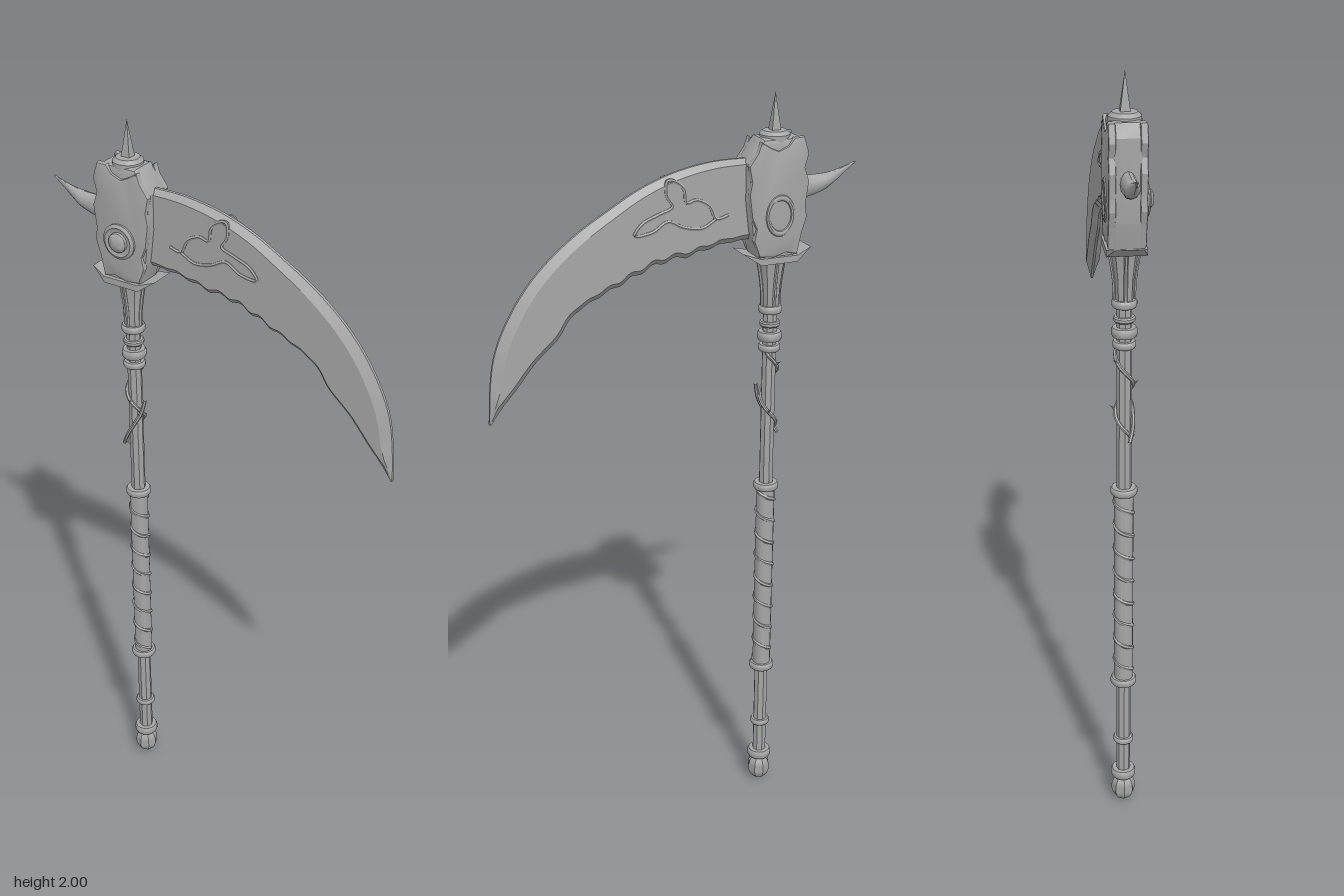
import * as THREE from 'three';
import { toCreasedNormals } from 'three/addons/utils/BufferGeometryUtils.js';

const V2 = (x, y) => new THREE.Vector2(x, y);
const V3 = (x, y, z = 0) => new THREE.Vector3(x, y, z);
const AX = -0.267, AZ = -0.012; // shaft axis

export function createModel() {
  const root = new THREE.Group();
  root.name = 'scythe';
  const metal = new THREE.MeshStandardMaterial({ color: 0xa6a6a6 });
  metal.name = 'grey metal';

  const add = (name, geo, x = AX, y = 0, z = AZ, crease = 0.6) => {
    const mesh = new THREE.Mesh(toCreasedNormals(geo, crease), metal);
    mesh.name = name;
    mesh.position.set(x, y, z);
    root.add(mesh);
    return mesh;
  };
  const lathe = (name, pts, sides = 20, crease = 0.6) =>
    add(name, new THREE.LatheGeometry(pts.map(p => V2(p[0], p[1])), sides), AX, 0, AZ, crease);

  // Closed skin over rings of points, with fan caps
  const loft = (rings) => {
    const n = rings[0].length, pos = [], idx = [];
    rings.forEach(r => r.forEach(p => pos.push(p.x, p.y, p.z)));
    for (let i = 0; i < rings.length - 1; i++) {
      for (let j = 0; j < n; j++) {
        const a = i * n + j, b = i * n + (j + 1) % n;
        idx.push(a, b, b + n, a, b + n, a + n);
      }
    }
    const last = (rings.length - 1) * n;
    for (let j = 1; j < n - 1; j++) idx.push(0, j + 1, j, last, last + j, last + j + 1);
    const g = new THREE.BufferGeometry();
    g.setAttribute('position', new THREE.Float32BufferAttribute(pos, 3));
    g.setIndex(idx);
    return g;
  };

  // Shaft, collars and neck
  lathe('shaft', [[0, 0.06], [0.019, 0.06], [0.019, 1.46], [0, 1.46]], 8, 0.3);
  const collar = (y, r, h) => lathe('collar', [[0.016, y - h], [r * 0.9, y - h], [r, y - h * 0.5],
    [r, y + h * 0.5], [r * 0.9, y + h], [0.016, y + h]]);
  [[0.09, 0.033, 0.012], [0.198, 0.027, 0.008], [0.385, 0.034, 0.01], [0.945, 0.034, 0.01],
    [1.34, 0.029, 0.009], [1.372, 0.032, 0.012], [1.405, 0.027, 0.007], [1.445, 0.031, 0.01]]
    .forEach(c => collar(...c));
  lathe('neck', [[0.018, 1.43], [0.023, 1.45], [0.024, 1.5], [0.031, 1.555], [0.038, 1.59], [0, 1.59]], 8, 0.3);
  for (let i = 0; i < 4; i++) { // raised ribs up the neck
    const a = i * Math.PI / 2;
    const path = new THREE.CatmullRomCurve3([[0.023, 1.45], [0.025, 1.5], [0.032, 1.55], [0.039, 1.585]]
      .map(([r, y]) => V3(r * Math.cos(a), y, r * Math.sin(a))));
    add('neckRib', new THREE.TubeGeometry(path, 8, 0.005, 6));
  }

  // Lobed pommel
  const pommel = new THREE.SphereGeometry(1, 32, 16);
  const pp = pommel.attributes.position;
  for (let i = 0; i < pp.count; i++) {
    const k = 0.03 + 0.002 * Math.cos(8 * Math.atan2(pp.getZ(i), pp.getX(i)));
    pp.setXYZ(i, pp.getX(i) * k, pp.getY(i) * 0.041, pp.getZ(i) * k);
  }
  add('pommel', pommel, AX, 0.041, AZ);

  // Wrapped grip
  const helix = (r, y0, y1, turns, phase, n) => new THREE.CatmullRomCurve3(Array.from({ length: n + 1 }, (_, i) => {
    const t = i / n, a = phase + t * turns * Math.PI * 2;
    return V3(r * Math.cos(a), y0 + (y1 - y0) * t, r * Math.sin(a));
  }));
  lathe('grip', [[0.018, 0.39], [0.0245, 0.39], [0.0245, 0.94], [0.018, 0.94]], 16);
  add('gripWrap', new THREE.TubeGeometry(helix(0.0225, 0.4, 0.93, 8, 0, 96), 200, 0.006, 6));

  // Thorny vine winding up the shaft
  const vine = helix(0.022, 1.1, 1.33, 1.5, 2.4, 24);
  add('vine', new THREE.TubeGeometry(vine, 60, 0.005, 6));
  for (const t of [0, 0.28, 0.58, 0.85]) {
    const p = vine.getPointAt(t), out = V3(p.x, 0.015, p.z).normalize();
    const thorn = add('thorn', new THREE.ConeGeometry(0.005, 0.022, 6),
      AX + p.x + out.x * 0.007, p.y + out.y * 0.007, AZ + p.z + out.z * 0.007);
    thorn.quaternion.setFromUnitVectors(V3(0, 1, 0), out);
  }
  const twig = new THREE.CatmullRomCurve3([V3(-0.034, 1.09, 0.01), V3(-0.016, 1.125, 0.02),
    V3(0.01, 1.17, 0.021), V3(0.025, 1.2, 0.012), V3(0.034, 1.24, 0.006)]);
  add('vineTwig', new THREE.TubeGeometry(twig, 20, 0.005, 6));

  // Extruded outline centred on z = 0, with optional rounded rim
  const extrude = (pts, half, bevel) => {
    const g = new THREE.ExtrudeGeometry(new THREE.Shape(pts.map(p => V2(...p))), {
      depth: 2 * (half - bevel), bevelEnabled: bevel > 0, bevelThickness: bevel, bevelSize: bevel,
      bevelOffset: -bevel, bevelSegments: 2,
    });
    return g.translate(0, 0, bevel - half);
  };

  // Flange under the head: bent plate with sharp, upturned, narrowed ends
  const flange = extrude([[-0.094, 1.607], [-0.05, 1.577], [0.05, 1.577], [0.094, 1.607],
    [0.05, 1.594], [-0.05, 1.594]], 0.049, 0);
  const fp = flange.attributes.position;
  for (let i = 0; i < fp.count; i++) if (Math.abs(fp.getX(i)) > 0.09) fp.setZ(i, fp.getZ(i) * 0.7);
  add('flange', flange, AX, 0, AZ, 0.3);

  // Head block with notched face plates
  add('headCore', extrude([[-0.048, 1.585], [0.052, 1.585], [0.074, 1.66], [0.084, 1.74], [0.084, 1.835],
    [0.058, 1.875], [0.045, 1.892], [-0.05, 1.892], [-0.068, 1.86], [-0.07, 1.76], [-0.066, 1.66]], 0.04, 0.013), AX, 0, AZ, 0.4);
  const plate = [[-0.05, 1.595], [-0.02, 1.603], [0.015, 1.593], [0.054, 1.598], [0.07, 1.64], [0.064, 1.67],
    [0.077, 1.7], [0.085, 1.76], [0.079, 1.79], [0.087, 1.83], [0.064, 1.862], [0.055, 1.888], [0.03, 1.872],
    [0.008, 1.862], [-0.018, 1.872], [-0.035, 1.892], [-0.062, 1.893], [-0.076, 1.85], [-0.066, 1.815],
    [-0.078, 1.78], [-0.07, 1.72], [-0.075, 1.69], [-0.062, 1.65]];
  for (const s of [1, -1]) add(s > 0 ? 'frontPlate' : 'backPlate', extrude(plate, 0.009, 0.005), AX, 0, AZ + s * 0.037, 0.4);

  // Round boss in front, oval ring behind
  const boss = new THREE.LatheGeometry([[0.046, -0.004], [0.046, 0.006], [0.038, 0.011], [0.03, 0.007], [0.026, 0.007],
    [0.025, 0.014], [0.016, 0.021], [0, 0.024]].map(p => V2(...p)), 28);
  boss.rotateX(Math.PI / 2);
  add('frontBoss', boss, AX, 1.7, AZ + 0.045);
  add('backRing', new THREE.TorusGeometry(0.038, 0.007, 8, 28), AX, 1.7, AZ - 0.045).scale.set(0.9, 1.2, 0.8);

  // Cap and square top spike
  lathe('topCap', [[0.039, 1.88], [0.039, 1.897], [0.03, 1.906], [0, 1.908]]);
  const spike = new THREE.ConeGeometry(0.018, 0.1, 4);
  spike.rotateY(Math.PI / 4);
  add('topSpike', spike, AX, 1.95, AZ, 0.3);

  // Curved blade: bevelled outer edge, softly notched inner edge
  const curve = pts => new THREE.SplineCurve(pts.map(p => V2(...p)));
  const outer = curve([[-0.2, 1.843], [-0.1, 1.842], [0, 1.825], [0.09, 1.793], [0.17, 1.75], [0.26, 1.695],
    [0.34, 1.63], [0.4, 1.562], [0.447, 1.485], [0.475, 1.415], [0.488, 1.34], [0.495, 1.24]]);
  const inner = curve([[-0.2, 1.637], [-0.12, 1.63], [-0.04, 1.612], [0.03, 1.603], [0.09, 1.583], [0.16, 1.552],
    [0.22, 1.525], [0.275, 1.49], [0.31, 1.44], [0.37, 1.385], [0.42, 1.325], [0.46, 1.28], [0.492, 1.237]]);
  const rings = [], N = 120, h = 0.0185;
  for (let i = 0; i <= N; i++) {
    const t = i / N, o = outer.getPointAt(t), n = inner.getPointAt(t);
    if (t < 0.6) n.y += 0.005 * Math.sin(t * 85) * Math.sin(t * Math.PI / 0.6); // notches
    const w = o.distanceTo(n);
    const a = Math.min(0.4, (0.012 + 0.02 * t) / w), b = 1 - Math.min(0.4, 0.016 / w);
    const z = h * Math.min(1, 0.12 + (1 - t) * 12);
    const at = (f, zz) => V3(o.x + (n.x - o.x) * f, o.y + (n.y - o.y) * f, zz);
    rings.push([at(0, 0.004), at(a, z), at(b, z), at(1, 0.003), at(1, -0.003), at(b, -z), at(a, -z), at(0, -0.004)]);
  }
  add('blade', loft(rings), 0, 0, AZ, 0.4);

  // Raised leaf scroll on both blade faces
  const leaf = [[-0.137, 1.708], [-0.105, 1.702], [-0.085, 1.737], [-0.05, 1.755], [-0.025, 1.75], [-0.018, 1.785],
    [0.0, 1.803], [0.025, 1.81], [0.028, 1.775], [0.012, 1.745], [0.05, 1.728], [0.092, 1.71], [0.112, 1.682],
    [0.065, 1.686], [0.025, 1.708], [-0.015, 1.69], [-0.065, 1.682], [-0.105, 1.702]];
  for (const s of [1, -1]) {
    const path = new THREE.CatmullRomCurve3(leaf.map(p => V3(p[0], p[1], s * 0.0175)));
    add('leafScroll', new THREE.TubeGeometry(path, 100, 0.005, 6), 0, 0, AZ);
  }

  // Curved rear spike, flattening towards its tip
  const top = curve([[-0.32, 1.786], [-0.38, 1.784], [-0.43, 1.788], [-0.495, 1.807]]);
  const low = curve([[-0.32, 1.722], [-0.38, 1.732], [-0.43, 1.755], [-0.494, 1.803]]);
  const horn = [];
  for (let i = 0; i <= 16; i++) {
    const t = i / 16, a = top.getPoint(t), b = low.getPoint(t);
    const z = t < 0.55 ? 0.019 : 0.003 + 0.016 * Math.max(0, 1 - (t - 0.55) / 0.3), ring = [];
    for (let j = 0; j < 12; j++) {
      const q = -j / 12 * Math.PI * 2, f = 0.5 - 0.5 * Math.cos(q);
      ring.push(V3(a.x + (b.x - a.x) * f, a.y + (b.y - a.y) * f, z * Math.sin(q)));
    }
    horn.push(ring);
  }
  add('rearSpike', loft(horn), 0, 0, AZ);

  return root;
}
